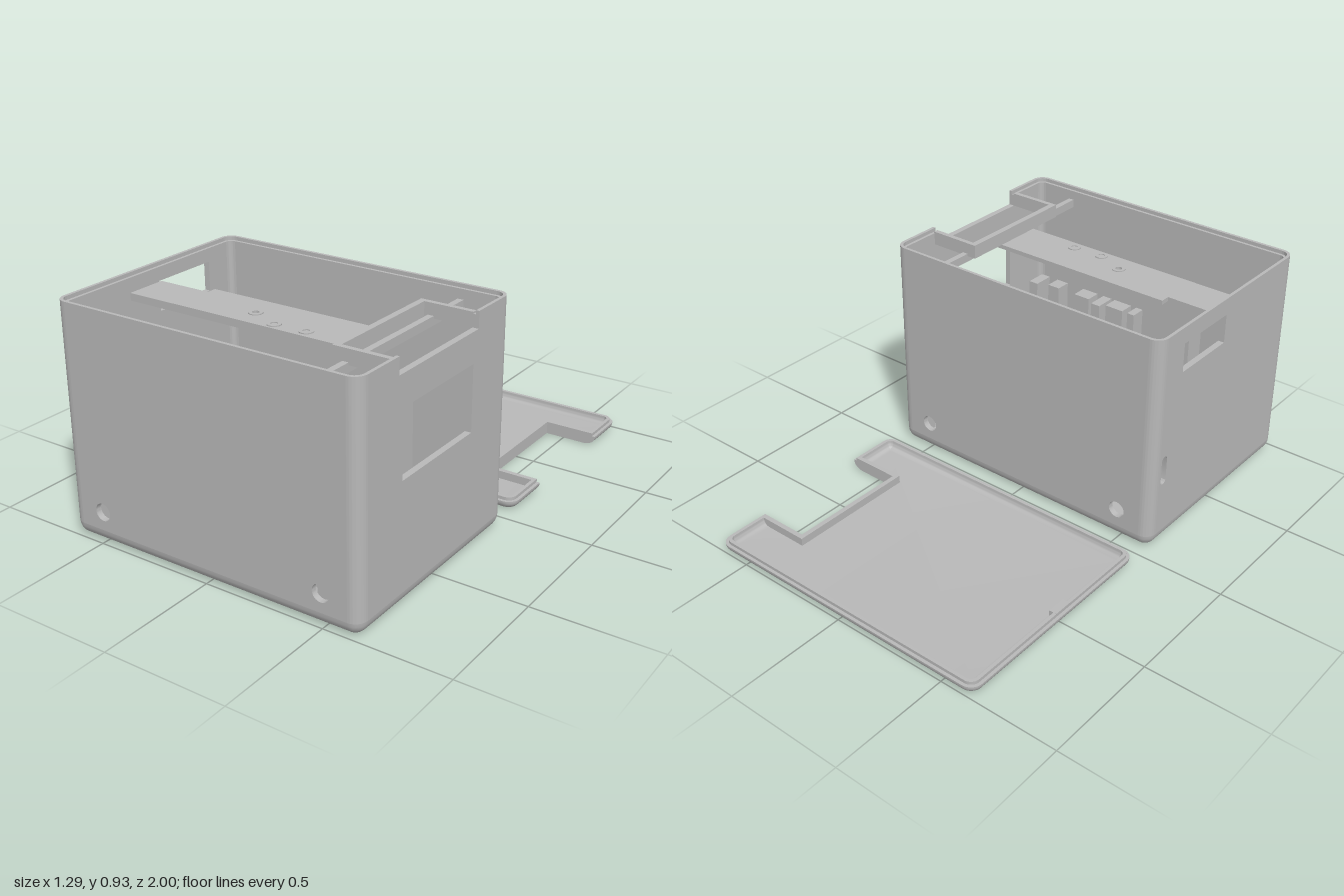
import * as THREE from 'three';
import { toCreasedNormals } from 'three/addons/utils/BufferGeometryUtils.js';

const HX = 0.645, BOX_Z = 0.5175, BOX_HZ = 0.4775, LID_Z = -0.525, LID_HZ = 0.475;
const R = 0.05, WALL = 0.025, FLOOR = 0.025, SEAM = 0.055;

// Rounded rectangle inset by d; n >= 0 adds a notch in the right edge, n being its wall offset
function outline(hz, d, n) {
  const pts = [], r = Math.max(R - d, 0.004), cx = HX - d - r, cz = hz - d - r;
  [[1, 1], [-1, 1], [-1, -1], [1, -1]].forEach(([sx, sz], q) => {
    for (let i = 0; i <= 8; i++) {
      const a = (q + i / 8) * Math.PI / 2;
      pts.push(new THREE.Vector2(sx * cx + r * Math.cos(a), sz * cz + r * Math.sin(a)));
    }
  });
  if (n !== undefined) {
    const v = 0.255 + n, x = 0.42 - n;
    [[HX - d, -v], [x, -v], [x, v], [HX - d, v]].forEach(p => pts.push(new THREE.Vector2(...p)));
  }
  return pts;
}

// Skin rings [inset, y, notch offset] and cap both ends
function loft(hz, rings) {
  const loops = rings.map(([d, , n]) => outline(hz, d, n));
  const N = loops[0].length, pos = [], idx = [];
  loops.forEach((l, i) => l.forEach(p => pos.push(p.x, rings[i][1], -p.y)));
  for (let i = 0; i < loops.length - 1; i++) for (let k = 0; k < N; k++) {
    const a = i * N + k, b = i * N + (k + 1) % N;
    idx.push(a, b, b + N, a, b + N, a + N);
  }
  const last = (loops.length - 1) * N;
  THREE.ShapeUtils.triangulateShape(loops[0], []).forEach(([a, b, c]) => idx.push(a, c, b));
  THREE.ShapeUtils.triangulateShape(loops[loops.length - 1], [])
    .forEach(([a, b, c]) => idx.push(last + a, last + b, last + c));
  const g = new THREE.BufferGeometry();
  g.setAttribute('position', new THREE.Float32BufferAttribute(pos, 3));
  g.setIndex(idx);
  return toCreasedNormals(g, 0.6);
}

// Quarter-round rings between an inset of d0 at y1 and d1 at y0
function fillet(d0, d1, y0, y1, n) {
  return Array.from({ length: 7 }, (_, i) => {
    const a = i / 6 * Math.PI / 2;
    return [d1 - (d1 - d0) * Math.sin(a), y1 - (y1 - y0) * Math.cos(a), n];
  });
}

function rectPath(x0, x1, y0, y1) {
  return new THREE.Path([[x0, y0], [x1, y0], [x1, y1], [x0, y1]].map(p => new THREE.Vector2(...p)));
}

export function createModel() {
  const root = new THREE.Group();
  const grey = new THREE.MeshStandardMaterial({ color: 0xb8b8b8 });
  grey.name = 'plain grey plastic';

  const add = (parent, name, geo, x = 0, y = 0, z = 0) => {
    const m = new THREE.Mesh(geo, grey);
    m.name = name;
    m.position.set(x, y, z);
    parent.add(m);
    return m;
  };
  const block = (parent, name, x0, x1, y0, y1, z0, z1) =>
    add(parent, name, new THREE.BoxGeometry(x1 - x0, y1 - y0, z1 - z0),
      (x0 + x1) / 2, (y0 + y1) / 2, (z0 + z1) / 2);
  const extrude = (shape, depth) => toCreasedNormals(
    new THREE.ExtrudeGeometry(shape, { depth, bevelEnabled: false, curveSegments: 16 }), 0.6);

  // Box floor with rounded lower edge
  const box = new THREE.Group();
  box.name = 'box';
  root.add(box);
  add(box, 'boxBase', loft(BOX_HZ, [
    ...fillet(0, 0.05, 0, SEAM),
    ...fillet(WALL, 0.055, FLOOR, SEAM).reverse(),
  ]), 0, 0, BOX_Z);

  // Openings in each wall, in wall coordinates
  const roundHoles = () => [-0.49, 0.49].map(x => new THREE.Path().absarc(x, 0.13, 0.035, 0, Math.PI * 2));
  const slot = () => {
    const p = new THREE.Path();
    p.absarc(-0.4, 0.385, 0.017, 0, Math.PI);
    p.absarc(-0.4, 0.295, 0.017, Math.PI, Math.PI * 2);
    return p;
  };
  const sides = [
    { name: 'frontWall', half: HX, off: BOX_HZ, turn: 0, holes: roundHoles },
    { name: 'rightWall', half: BOX_HZ, off: HX, turn: 1, notch: true,
      holes: () => [rectPath(-0.2275, 0.2175, 0.48, 0.74)] },
    { name: 'backWall', half: HX, off: BOX_HZ, turn: 2, holes: roundHoles },
    { name: 'leftWall', half: BOX_HZ, off: HX, turn: 3,
      holes: () => [rectPath(-0.3175, -0.03, 0.735, 0.855), slot()] },
  ];

  // Walls in two layers: the outer one rises higher and forms the rim step
  [[0, 0.013, 0.925], [0.013, WALL, 0.91]].forEach(([d0, d1, top], layer) => {
    const tag = layer ? 'Inner' : 'Outer';
    sides.forEach(s => {
      const w = s.half - R;
      const pts = [[-w, SEAM], [w, SEAM], [w, top]];
      if (s.notch) pts.push([0.2475, top], [0.2475, 0.86], [-0.2525, 0.86], [-0.2525, top]);
      pts.push([-w, top]);
      const shape = new THREE.Shape(pts.map(p => new THREE.Vector2(...p)));
      shape.holes = s.holes();
      const pivot = new THREE.Group();
      pivot.name = s.name + tag;
      pivot.position.z = BOX_Z;
      pivot.rotation.y = s.turn * Math.PI / 2;
      add(pivot, s.name + tag, extrude(shape, d1 - d0), 0, 0, s.off - d1);
      box.add(pivot);
    });
    // Rounded vertical corners
    [[1, 1], [-1, 1], [-1, -1], [1, -1]].forEach(([sx, sv], q) => {
      const a = q * Math.PI / 2, c = new THREE.Shape();
      c.absarc(0, 0, R - d0, a, a + Math.PI / 2, false);
      c.absarc(0, 0, R - d1, a + Math.PI / 2, a, true);
      add(box, 'corner' + tag, extrude(c, top - SEAM), sx * (HX - R), SEAM, BOX_Z - sv * (BOX_HZ - R))
        .rotation.x = -Math.PI / 2;
    });
  });

  // U-shaped frame behind the notch and the rail below it
  block(box, 'notchFrameBack', 0.40, 0.425, 0.86, 0.917, 0.25, 0.79);
  block(box, 'notchFrameSide', 0.425, 0.622, 0.86, 0.917, 0.25, 0.27);
  block(box, 'notchFrameSide', 0.425, 0.622, 0.86, 0.917, 0.77, 0.79);
  block(box, 'crossRail', 0.44, 0.465, 0.835, 0.87, 0.065, 0.97);

  // Long shelf under the rim, narrower at its left end
  const shelf = new THREE.Shape([[-0.62, -0.645], [0.44, -0.645], [0.44, -0.435], [-0.39, -0.435],
    [-0.39, -0.475], [-0.62, -0.475]].map(p => new THREE.Vector2(...p)));
  shelf.holes.push(new THREE.Path().absarc(-0.1, -0.555, 0.018, 0, Math.PI * 2));
  add(box, 'shelf', extrude(shelf, 0.018), 0, 0.834, 0).rotation.x = -Math.PI / 2;
  block(box, 'shelfStep', -0.62, 0.44, 0.822, 0.834, 0.595, 0.645);

  // Bosses on the shelf and pads on the floor
  const ring = (name, x, z, y, h, r) => {
    const s = new THREE.Shape().absarc(0, 0, r, 0, Math.PI * 2);
    s.holes.push(new THREE.Path().absarc(0, 0, r * 0.5, 0, Math.PI * 2));
    add(box, name, extrude(s, h), x, y, z).rotation.x = -Math.PI / 2;
  };
  [[-0.1, 0.555], [0.025, 0.61], [0.16, 0.605]].forEach(([x, z]) => ring('shelfBoss', x, z, 0.85, 0.006, 0.027));
  ring('floorBoss', -0.1, 0.36, FLOOR, 0.03, 0.02);
  for (const x of [-0.52, -0.325, 0.325, 0.52]) for (const z of [0.205, 0.83])
    add(box, 'floorPad', new THREE.CylinderGeometry(0.032, 0.032, 0.01, 24), x, FLOOR + 0.005, z);

  // Upright mounting posts along the back and front walls: [x, width, depth]
  const posts = (name, list, fromBack) => list.forEach(([x, w, d]) => fromBack
    ? block(box, name, x - w / 2, x + w / 2, FLOOR, 0.45, 0.064, 0.064 + d)
    : block(box, name, x - w / 2, x + w / 2, FLOOR, 0.45, 0.971 - d, 0.971));
  posts('backPost', [[-0.595, 0.04, 0.09], [-0.24, 0.045, 0.09], [-0.2, 0.03, 0.07],
    [0.15, 0.025, 0.07], [0.235, 0.045, 0.09], [0.588, 0.045, 0.09]], true);
  posts('frontPost', [[-0.588, 0.04, 0.09], [-0.24, 0.045, 0.095], [0.06, 0.035, 0.07], [0.15, 0.09, 0.07],
    [0.235, 0.045, 0.095], [0.33, 0.08, 0.07], [0.49, 0.06, 0.07], [0.588, 0.045, 0.095]], false);

  // Shallow lid lying behind the box, with a raised lip and a matching notch
  const lid = new THREE.Group();
  lid.name = 'lid';
  lid.position.z = LID_Z;
  root.add(lid);
  add(lid, 'lidShell', loft(LID_HZ, [
    ...fillet(0, 0.05, 0, 0.036, 0),
    [0.0, 0.04, 0], [0.013, 0.04, 0], [0.013, 0.053, 0], [0.027, 0.053, 0.02],
    ...fillet(0.028, 0.055, 0.02, 0.045, 0.02).reverse(),
  ]));
  block(lid, 'lidCatch', -0.632, -0.6, 0.03, 0.054, 0.0, 0.08);

  return root;
}
